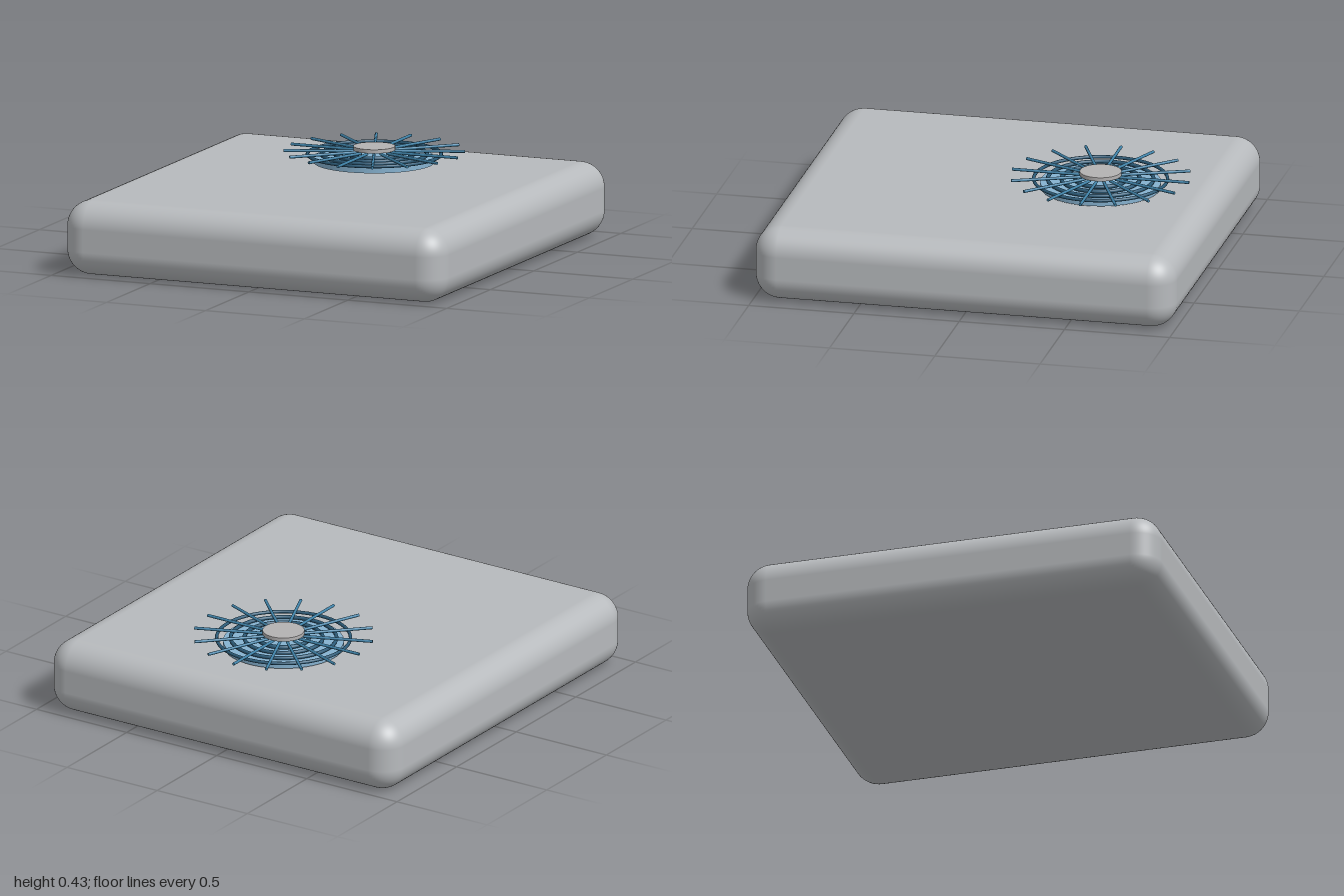
import * as THREE from 'three';
import { RoundedBoxGeometry } from 'three/addons/geometries/RoundedBoxGeometry.js';

const material = (name, color) => {
  const m = new THREE.MeshStandardMaterial({ color });
  m.name = name;
  return m;
};

export function createModel() {
  const model = new THREE.Group();
  model.name = 'slabWithRosette';
  const grey = material('slab grey', 0xb7babd);
  const hubGrey = material('hub grey', 0xb4b2b2);
  const paleBlue = material('pale blue', 0x86b2d0);
  const darkBlue = material('dark blue', 0x2c5b78);
  const midBlue = material('mid blue', 0x3f82a8);

  const add = (parent, name, geometry, mat, y) => {
    const mesh = new THREE.Mesh(geometry, mat);
    mesh.name = name;
    mesh.position.y = y;
    parent.add(mesh);
    return mesh;
  };

  // Rounded slab
  add(model, 'slab', new RoundedBoxGeometry(1.92, 0.348, 2, 8, 0.12), grey, 0.174);

  // Round ornament towards the back of the top
  const rosette = new THREE.Group();
  rosette.name = 'rosette';
  rosette.position.z = -0.44;
  model.add(rosette);

  add(rosette, 'disc', new THREE.CylinderGeometry(0.28, 0.28, 0.024, 64), paleBlue, 0.37);

  // Concentric rings
  for (const [radius, tube] of [[0.31, 0.008], [0.245, 0.009], [0.182, 0.009], [0.117, 0.01]]) {
    const ring = new THREE.TorusGeometry(radius, tube, 10, 64).rotateX(Math.PI / 2);
    add(rosette, 'ring', ring, darkBlue, 0.396);
  }

  // Sixteen spokes radiating from under the hub
  const inner = 0.085, outer = 0.42;
  const spoke = new THREE.CylinderGeometry(0.007, 0.007, outer - inner, 10)
    .rotateZ(Math.PI / 2)
    .translate((inner + outer) / 2, 0, 0);
  for (let i = 0; i < 16; i++) {
    add(rosette, 'spoke', spoke, midBlue, 0.41).rotation.y = (i * Math.PI) / 8;
  }

  add(rosette, 'hub', new THREE.CylinderGeometry(0.097, 0.097, 0.018, 48), hubGrey, 0.425);

  return model;
}
